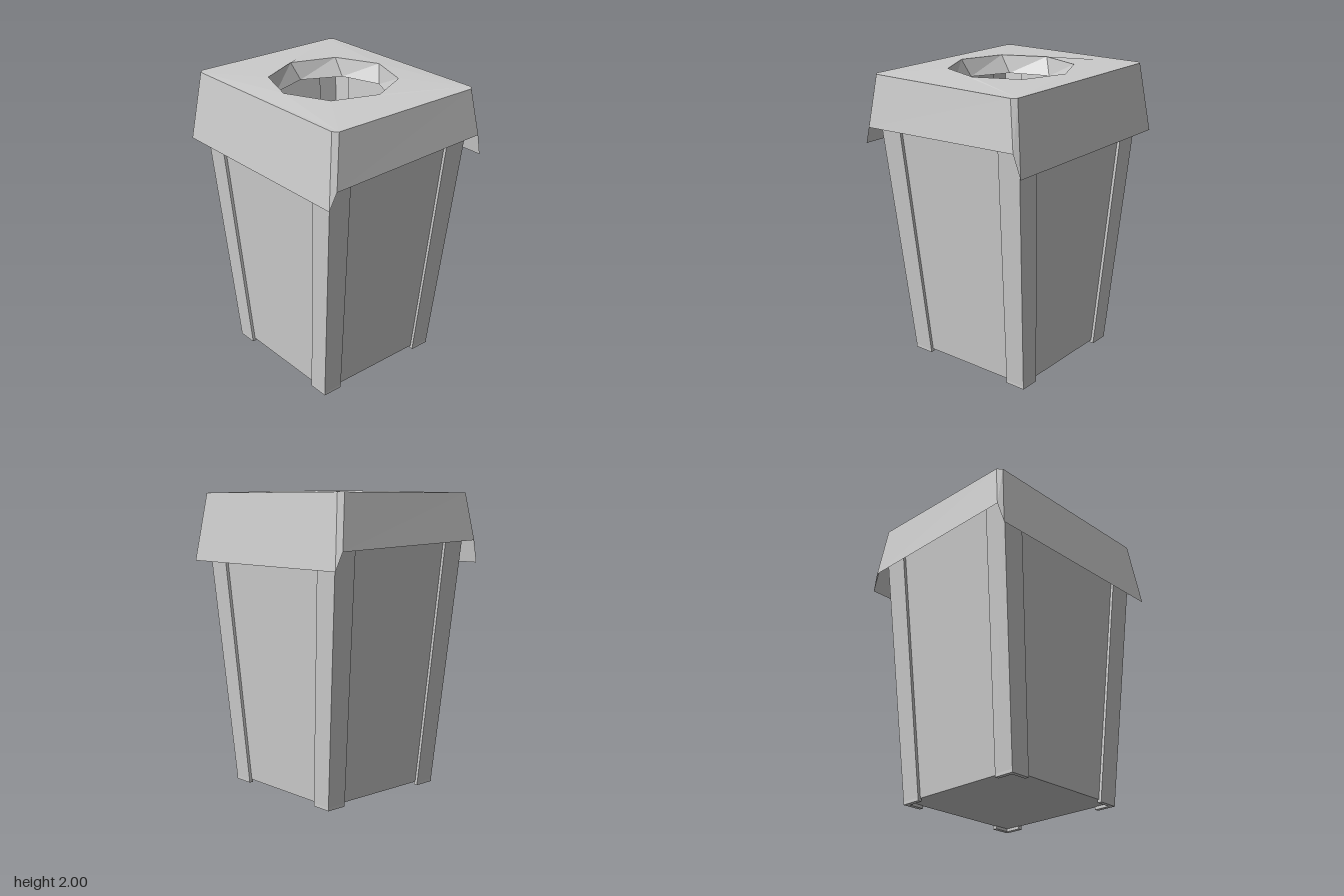
import * as THREE from 'three';

const material = new THREE.MeshStandardMaterial({ color: 0xcccccc, flatShading: true, side: THREE.DoubleSide });

function addMesh(parent, name, geometry) {
  const mesh = new THREE.Mesh(geometry, material);
  mesh.name = name;
  parent.add(mesh);
  return mesh;
}

// Flat-sided wall between two closed rings of [x, y, z] points
function loft(lower, upper) {
  const pos = [];
  const n = lower.length;
  for (let i = 0; i < n; i++) {
    const j = (i + 1) % n;
    pos.push(...lower[i], ...upper[i], ...lower[j]);
    pos.push(...lower[j], ...upper[i], ...upper[j]);
  }
  const g = new THREE.BufferGeometry();
  g.setAttribute('position', new THREE.Float32BufferAttribute(pos, 3));
  g.computeVertexNormals();
  return g;
}

// Mirrors one corner's [x, z] points into all four corners
function fourCorners(points) {
  const ring = [];
  for (const [sx, sz] of [[1, 1], [-1, 1], [-1, -1], [1, -1]]) {
    const corner = points.map(([x, z]) => [x * sx, z * sz]);
    ring.push(...(sx * sz > 0 ? corner : corner.reverse()));
  }
  return ring;
}

const atHeight = (ring, y) => ring.map(([x, z]) => [x, y, z]);
const toVectors = (ring) => ring.map(([x, z]) => new THREE.Vector2(x, z));

// Rectangle with raised corner posts and recessed panels
function bodyOutline(a, b, post) {
  const d = 0.02;
  return fourCorners([[a - d, b - post], [a, b - post], [a, b], [a - post, b], [a - post, b - d]]);
}

function octagon(radius, turn) {
  return Array.from({ length: 8 }, (_, i) => {
    const t = turn + (i * Math.PI) / 4;
    return [radius * Math.cos(t), radius * Math.sin(t)];
  });
}

export function createModel() {
  const model = new THREE.Group();
  model.name = 'litterBin';
  const bin = new THREE.Group();
  bin.name = 'bin';
  bin.rotation.y = -Math.PI / 4;
  model.add(bin);

  // Tapered hollow body
  const base = bodyOutline(0.48, 0.48, 0.14);
  addMesh(bin, 'body', loft(atHeight(base, 0.02), atHeight(bodyOutline(0.66, 0.577, 0.165), 1.85)));

  // Floor
  const floor = new THREE.ShapeGeometry(new THREE.Shape(toVectors(base)));
  floor.rotateX(Math.PI / 2);
  addMesh(bin, 'floor', floor).position.y = 0.02;

  // L-shaped feet under the corner posts
  const foot = [[0.48, 0.48], [0.34, 0.48], [0.34, 0.45], [0.45, 0.45], [0.45, 0.34], [0.48, 0.34]];
  for (const [sx, sz] of [[1, 1], [-1, 1], [-1, -1], [1, -1]]) {
    const shape = new THREE.Shape(toVectors(foot.map(([x, z]) => [x * sx, z * sz])));
    const g = new THREE.ExtrudeGeometry(shape, { depth: 0.02, bevelEnabled: false });
    g.rotateX(Math.PI / 2);
    addMesh(bin, 'foot', g).position.y = 0.02;
  }

  // Flared lid skirt: long sides hang lower, short sides have a sloping edge
  const lidRing = fourCorners([[0.69, 0.54], [0.66, 0.57]]);
  const hem = fourCorners([[0.73, 0.59], [0.715, 0.635]]);
  const hemHeights = [1.645, 1.53, 1.53, 1.68];
  const lower = hem.map(([x, z], i) => [x, hemHeights[i % 4], z]);
  addMesh(bin, 'lidSkirt', loft(lower, atHeight(lidRing, 1.99)));

  // Lid top, rising slightly to the round opening
  const rim = octagon(0.415, -0.05);
  const topShape = new THREE.Shape(toVectors(lidRing));
  topShape.holes.push(new THREE.Path(toVectors(rim)));
  const top = new THREE.ShapeGeometry(topShape);
  top.rotateX(Math.PI / 2);
  const p = top.attributes.position;
  for (let i = 0; i < p.count; i++) {
    p.setY(i, Math.hypot(p.getX(i), p.getZ(i)) < 0.5 ? 2 : 1.99);
  }
  top.computeVertexNormals();
  addMesh(bin, 'lidTop', top);

  // Slightly twisted collar inside the opening
  addMesh(bin, 'openingCollar', loft(atHeight(rim, 2), atHeight(octagon(0.375, 0.08), 1.88)));

  return model;
}
